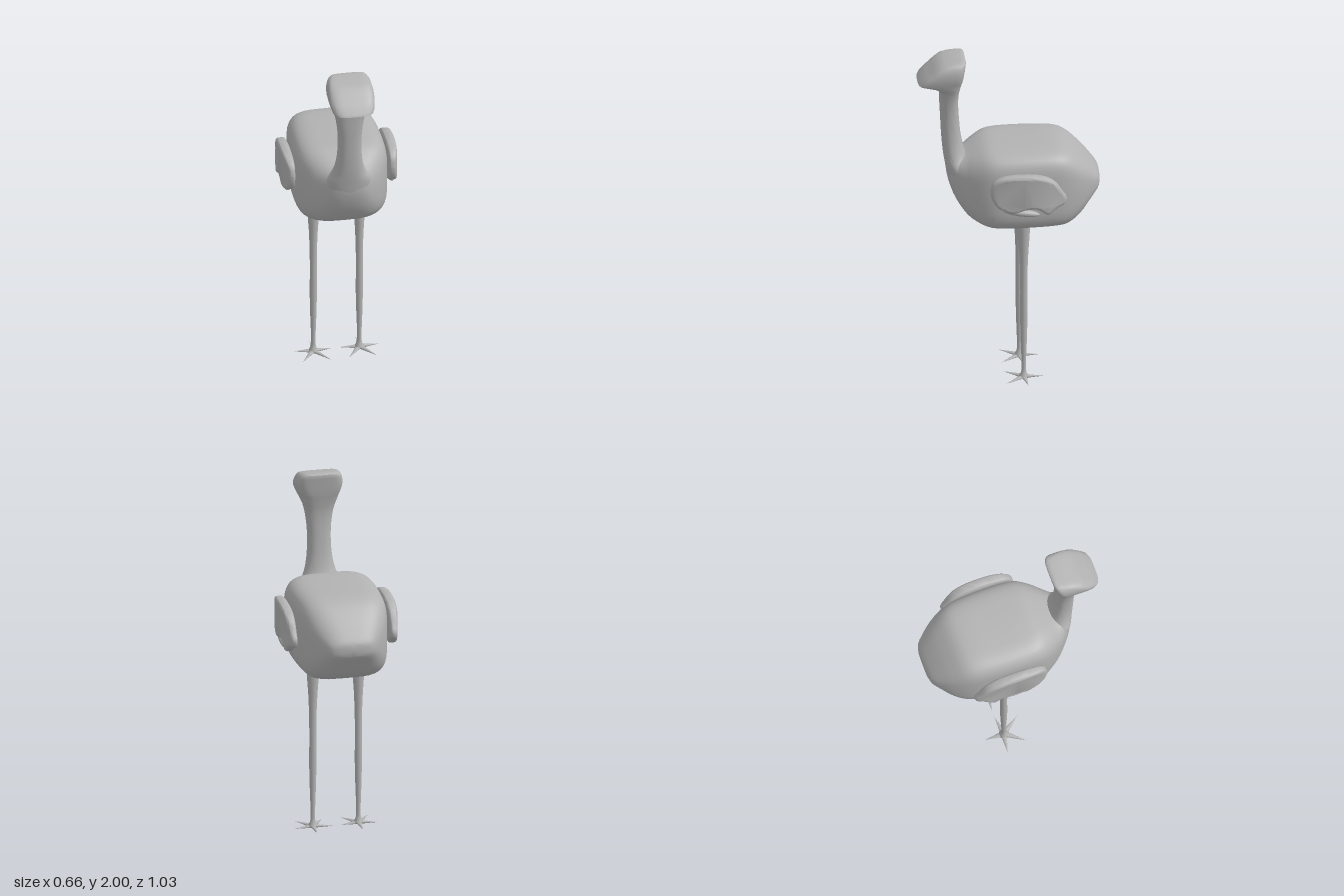
import * as THREE from 'three';
import { toCreasedNormals } from 'three/addons/utils/BufferGeometryUtils.js';

const grey = new THREE.MeshStandardMaterial({ color: 0xb2b2b2 });
grey.name = 'plain grey';

// Fills in rows [position, low, high, halfWidth, squareness] along a spline
function smoothRows(rows, steps) {
  const a = new THREE.CatmullRomCurve3(rows.map(r => new THREE.Vector3(r[0], r[1], r[2])), false, 'catmullrom');
  const b = new THREE.CatmullRomCurve3(rows.map(r => new THREE.Vector3(r[3], r[4], 0)), false, 'catmullrom');
  const n = (rows.length - 1) * steps;
  return Array.from({ length: n + 1 }, (_, i) => {
    const p = a.getPoint(i / n), q = b.getPoint(i / n);
    return [p.x, p.y, p.z, q.x, q.y];
  });
}

// Skins superellipse cross-sections, closed at both ends
function loft(rows, place, crease) {
  const sides = 40, pos = [], idx = [];
  const pow = (v, n) => Math.sign(v) * Math.abs(v) ** (2 / n);
  for (const [s, lo, hi, hw, n] of rows) {
    for (let j = 0; j < sides; j++) {
      const t = (j / sides) * Math.PI * 2;
      pos.push(...place(s, hw * pow(Math.cos(t), n), (lo + hi) / 2, (hi - lo) / 2 * pow(Math.sin(t), n)));
    }
  }
  const last = rows.length - 1, c0 = rows.length * sides;
  for (const i of [0, last]) pos.push(...place(rows[i][0], 0, (rows[i][1] + rows[i][2]) / 2, 0));
  for (let j = 0; j < sides; j++) {
    const k = (j + 1) % sides;
    for (let i = 0; i < last; i++) {
      const a = i * sides + j, b = i * sides + k;
      idx.push(a, b, a + sides, b, b + sides, a + sides);
    }
    idx.push(c0, k, j, c0 + 1, last * sides + j, last * sides + k);
  }
  const g = new THREE.BufferGeometry();
  g.setAttribute('position', new THREE.Float32BufferAttribute(pos, 3));
  g.setIndex(idx);
  return toCreasedNormals(g, crease);
}

// Mirrors a geometry across x = 0 and restores its face order
function mirrored(geo) {
  const g = geo.index ? geo.toNonIndexed() : geo.clone();
  g.scale(-1, 1, 1);
  for (const name of ['position', 'normal']) {
    const a = g.attributes[name], u = new THREE.Vector3(), v = new THREE.Vector3();
    for (let i = 0; i < a.count; i += 3) {
      u.fromBufferAttribute(a, i + 1);
      v.fromBufferAttribute(a, i + 2);
      a.setXYZ(i + 1, v.x, v.y, v.z);
      a.setXYZ(i + 2, u.x, u.y, u.z);
    }
  }
  return g;
}

function wingGeometry() {
  const outline = [[.125, 1.27], [.11, 1.33], [.05, 1.365], [-.06, 1.375], [-.17, 1.362], [-.24, 1.325],
    [-.285, 1.26], [-.308, 1.22], [-.297, 1.185], [-.25, 1.162], [-.2, 1.125], [-.14, 1.162],
    [-.07, 1.16], [0, 1.142], [.08, 1.175], [.115, 1.225]].map(([z, y]) => new THREE.Vector2(-z, y));
  const shape = new THREE.Shape();
  shape.moveTo(outline[0].x, outline[0].y);
  shape.splineThru([...outline.slice(1), outline[0].clone()]);
  const g = new THREE.ExtrudeGeometry(shape, {
    depth: .026, bevelThickness: .016, bevelSize: .02, bevelOffset: -.02, bevelSegments: 4, steps: 1, curveSegments: 4,
  });
  g.rotateY(Math.PI / 2);
  // Thin the wing towards its front and rear
  const p = g.attributes.position;
  for (let i = 0; i < p.count; i++) {
    const taper = 1 - .45 * Math.min(1, Math.abs((p.getZ(i) + .09) / .22)) ** 3;
    p.setX(i, .27 + (p.getX(i) + .016) * taper * 1.03);
  }
  return toCreasedNormals(g, .8);
}

export function createModel() {
  const model = new THREE.Group();
  const add = (name, geo, parent = model) => {
    const m = new THREE.Mesh(geo, grey);
    m.name = name;
    parent.add(m);
    return m;
  };

  // Body, lofted from tail to breast
  const body = smoothRows([
    [-.515, 1.18, 1.25, .08, 2.5], [-.5, 1.155, 1.275, .125, 2.8], [-.45, 1.09, 1.335, .172, 3.2],
    [-.4, 1.03, 1.385, .207, 3.6], [-.33, .983, 1.438, .238, 4.2], [-.25, .975, 1.456, .255, 4.6],
    [-.1, .975, 1.458, .264, 4.8], [.05, .975, 1.457, .264, 4.6], [.13, .982, 1.45, .25, 4.2],
    [.2, 1.01, 1.42, .215, 3.6], [.25, 1.05, 1.395, .178, 3.1], [.3, 1.125, 1.385, .13, 2.7],
    [.33, 1.2, 1.38, .09, 2.4], [.345, 1.26, 1.37, .05, 2.2],
  ], 3);
  add('body', loft(body, (s, w, mid, h) => [w, mid + h, s], 1.2));

  // Neck and head with its flat sloping beak, lofted upwards
  const neck = smoothRows([
    [1.18, .12, .318, .11, 2.2], [1.26, .15, .343, .135, 2.2], [1.33, .2, .355, .128, 2.2],
    [1.38, .232, .363, .1, 2.2], [1.44, .252, .37, .08, 2.3], [1.52, .267, .376, .069, 2.4],
    [1.62, .276, .381, .067, 2.4], [1.7, .28, .385, .073, 2.5], [1.76, .278, .387, .083, 2.6],
    [1.8, .272, .389, .094, 2.7],
  ], 3);
  const head = [
    [1.82, .268, .4, .102, 2.9], [1.84, .264, .445, .111, 3.3], [1.858, .26, .512, .117, 4],
    [1.872, .257, .504, .122, 4.4], [1.91, .251, .462, .13, 4.6], [1.945, .246, .424, .129, 4.6],
    [1.972, .242, .394, .122, 4.4], [1.985, .24, .36, .112, 4.2], [1.995, .242, .31, .098, 4],
    [2, .25, .275, .08, 3.5],
  ];
  add('neckAndHead', loft([...neck, ...head], (s, w, mid, h) => [w, s, mid - h], .75));

  // Wings, each with a slim folded lower feather
  const wing = wingGeometry();
  const feather = new THREE.SphereGeometry(1, 24, 14);
  feather.scale(.024, .021, .105).rotateX(-.17).translate(.297, 1.138, -.052);
  for (const [side, fix] of [['left', g => g], ['right', mirrored]]) {
    add(side + 'Wing', fix(wing), model);
    add(side + 'WingFeather', fix(feather), model);
  }

  // Legs and five-toed feet
  const legProfile = [[0, .006], [.028, .008], [.026, .018], [.016, .035], [.012, .06], [.014, .14], [.018, .25],
    [.021, .38], [.02, .55], [.021, .68], [.026, .8], [.033, .9], [.038, 1.02]].map(([r, y]) => new THREE.Vector2(r, y));
  const toes = [[36, .137], [-36, .137], [98, .113], [-98, .113], [180, .112]];
  for (const [side, sx] of [['left', 1], ['right', -1]]) {
    const leg = new THREE.Group();
    leg.name = side + 'Leg';
    leg.position.set(sx * .132, 0, -.08);
    model.add(leg);
    add('shank', new THREE.LatheGeometry(legProfile, 16), leg);
    for (const [deg, len] of toes) {
      const toe = new THREE.ConeGeometry(.018, len, 8);
      toe.translate(0, len / 2, 0).rotateX(Math.PI / 2).scale(1, .6, 1).rotateX(.04);
      toe.rotateY(THREE.MathUtils.degToRad(deg)).translate(0, .0115, 0);
      add('toe', toe, leg);
    }
  }
  return model;
}
